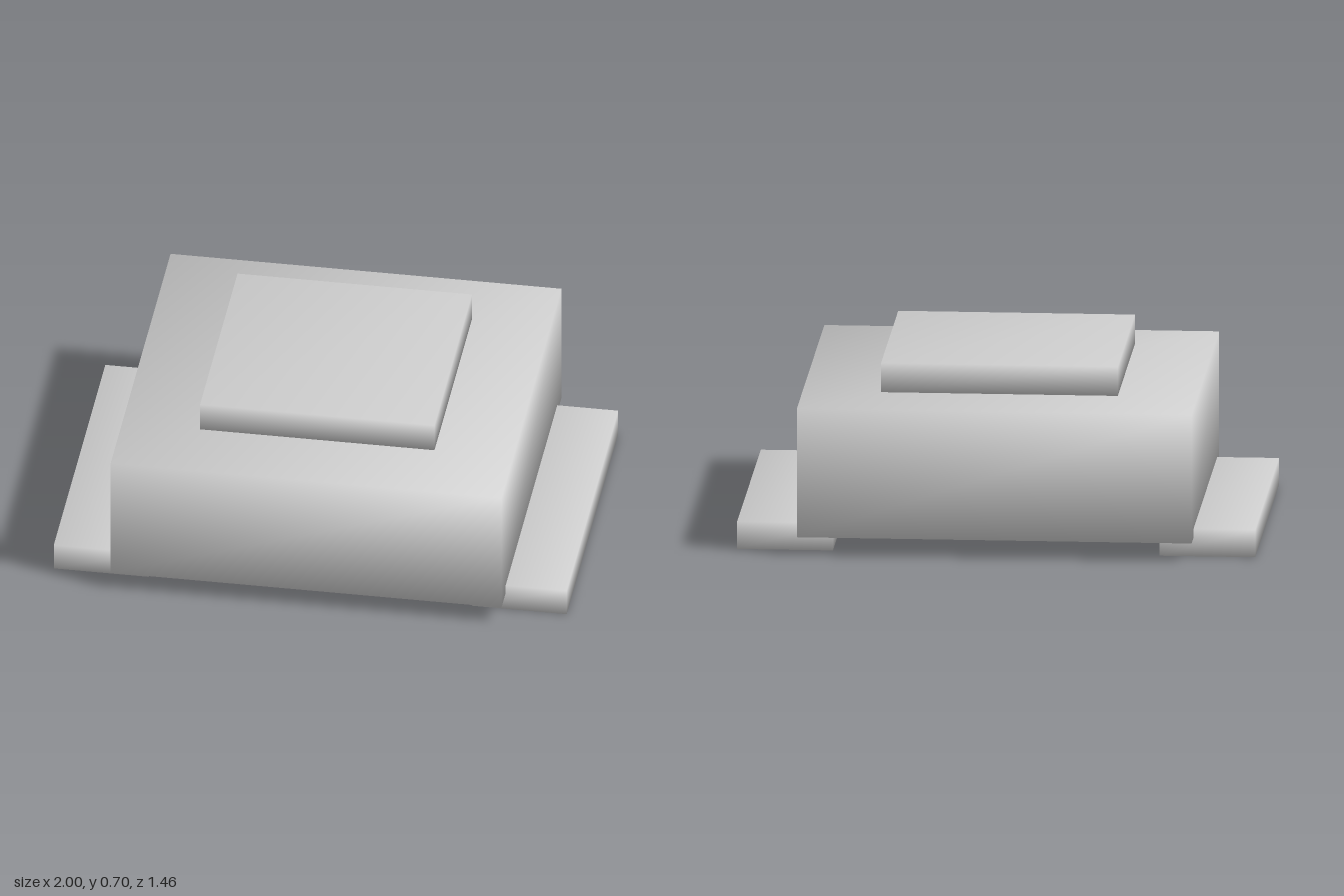
import * as THREE from 'three';
import { mergeVertices } from 'three/addons/utils/BufferGeometryUtils.js';

const grey = new THREE.MeshStandardMaterial({ color: 0xcccccc });
grey.name = 'grey';

// Box with welded corners, so the shading runs smoothly round its edges
function softBox(name, width, height, depth, x, bottom) {
  const box = new THREE.BoxGeometry(width, height, depth);
  box.deleteAttribute('normal');
  box.deleteAttribute('uv');
  const geometry = mergeVertices(box);
  geometry.clearGroups();
  geometry.computeVertexNormals();
  const mesh = new THREE.Mesh(geometry, grey);
  mesh.name = name;
  mesh.position.set(x, bottom + height / 2, 0);
  return mesh;
}

export function createModel() {
  const model = new THREE.Group();
  model.name = 'model';

  // Main block, and the lid floating just above it
  model.add(softBox('body', 1.524, 0.508, 1.462, 0, 0.073));
  model.add(softBox('lid', 0.914, 0.115, 0.914, 0, 0.589));

  // Long feet, partly under the body
  for (const [name, side] of [['leftFoot', 1], ['rightFoot', -1]]) {
    model.add(softBox(name, 0.37, 0.108, 1.258, side * 0.815, 0));
  }
  return model;
}
